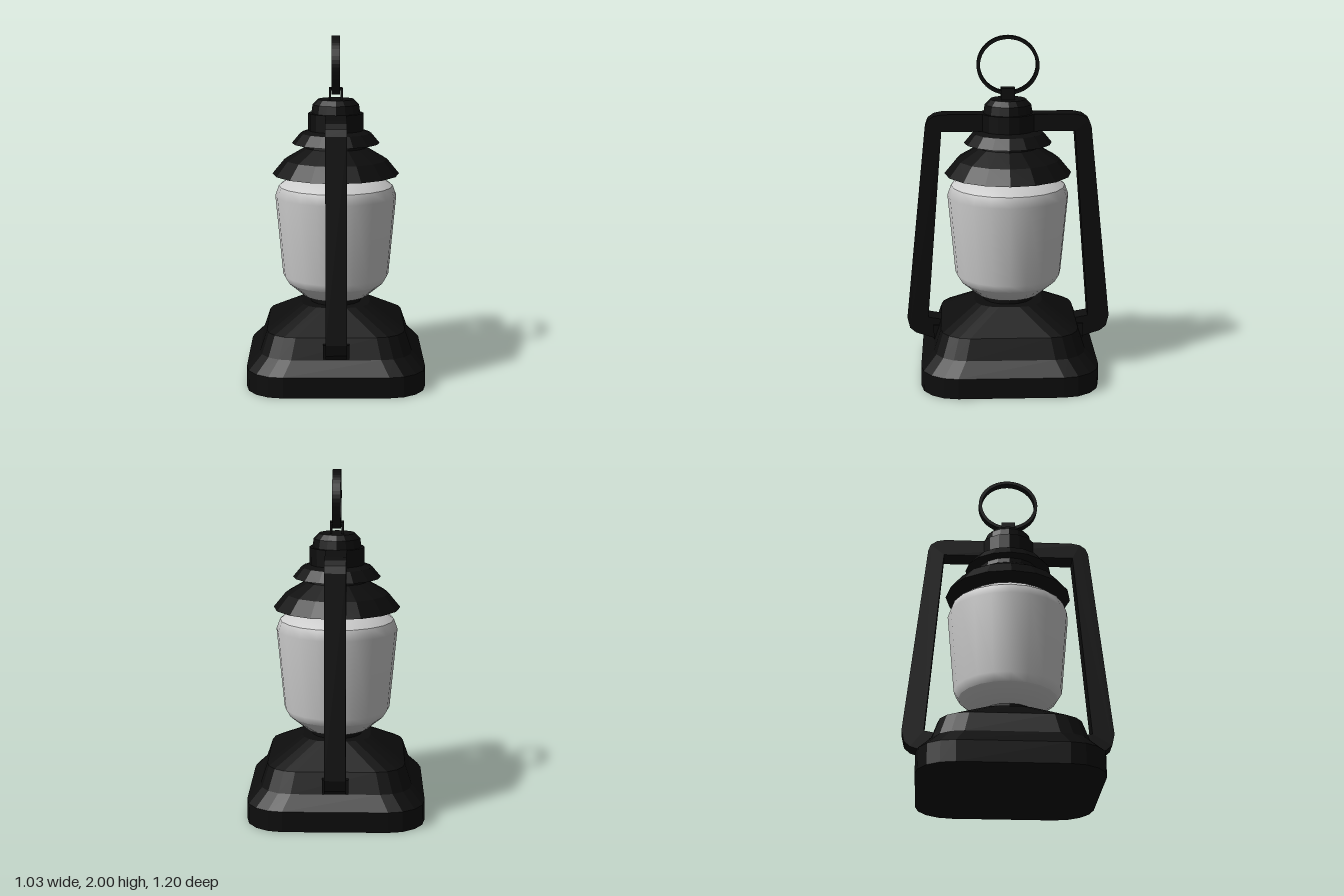
import * as THREE from 'three';

const metal = new THREE.MeshStandardMaterial({ color: 0x0d0d0d, flatShading: true, side: THREE.DoubleSide });
const glass = new THREE.MeshStandardMaterial({ color: 0xcccccc, side: THREE.DoubleSide });

function part(name, geometry, material = metal) {
  const mesh = new THREE.Mesh(geometry, material);
  mesh.name = name;
  return mesh;
}

// Turned part from [radius, y] pairs
const turned = (points, sides = 16) =>
  new THREE.LatheGeometry(points.map(([r, y]) => new THREE.Vector2(r, y)), sides);

// Stack of rounded squares, each given as [half width, corner radius, y]
function roundedSquareLoft(levels) {
  const positions = [], index = [], steps = 4, n = 4 * (steps + 1);
  for (const [half, radius, y] of levels) {
    for (let corner = 0; corner < 4; corner++) {
      const mid = (corner + 0.5) * Math.PI / 2;
      const cx = Math.sign(Math.cos(mid)) * (half - radius);
      const cz = Math.sign(Math.sin(mid)) * (half - radius);
      for (let i = 0; i <= steps; i++) {
        const a = (corner + i / steps) * Math.PI / 2;
        positions.push(cx + radius * Math.cos(a), y, cz + radius * Math.sin(a));
      }
    }
  }
  for (let l = 0; l < levels.length - 1; l++) {
    for (let i = 0; i < n; i++) {
      const a = l * n + i, b = l * n + (i + 1) % n;
      index.push(a, a + n, b, b, a + n, b + n);
    }
  }
  const g = new THREE.BufferGeometry();
  g.setAttribute('position', new THREE.Float32BufferAttribute(positions, 3));
  g.setIndex(index);
  g.computeVertexNormals();
  return g;
}

// Side profile drawn in (z, y), extruded across x
function acrossX(shape, width, curveSegments = 12) {
  const g = new THREE.ExtrudeGeometry(shape, { depth: width, bevelEnabled: false, curveSegments });
  return g.translate(0, 0, -width / 2).rotateY(-Math.PI / 2);
}

export function createModel() {
  const lantern = new THREE.Group();
  lantern.name = 'lantern';

  // Stepped square base and round neck
  lantern.add(part('base', roundedSquareLoft([
    [0, 0, 0], [0.515, 0.215, 0], [0.515, 0.215, 0.12], [0.44, 0.185, 0.2],
    [0.4, 0.17, 0.32], [0.2, 0.14, 0.44], [0, 0, 0.44],
  ])));
  lantern.add(part('neck', new THREE.CylinderGeometry(0.15, 0.15, 0.08, 16).translate(0, 0.45, 0)));

  // Glass globe: foot, body and shoulder keep crisp borders
  const globe = new THREE.Group();
  globe.name = 'globe';
  globe.add(part('globeFoot', turned([[0, 0.475], [0.19, 0.475], [0.285, 0.555]], 20), glass));
  globe.add(part('globeBody', turned([[0.285, 0.555], [0.312, 0.6], [0.355, 1.07], [0.333, 1.13]], 20), glass));
  globe.add(part('globeShoulder', turned([[0.333, 1.13], [0.27, 1.175], [0.18, 1.205]], 20), glass));
  lantern.add(globe);

  // Two flared hoods and the chimney
  lantern.add(part('lowerHood', turned([
    [0.17, 1.21], [0.355, 1.2], [0.37, 1.2], [0.3, 1.285], [0.18, 1.355], [0.175, 1.39],
  ])));
  lantern.add(part('upperHood', turned([
    [0.17, 1.385], [0.255, 1.38], [0.205, 1.44], [0.16, 1.455],
  ])));
  lantern.add(part('chimney', turned([
    [0.16, 1.44], [0.16, 1.555], [0.142, 1.555], [0.134, 1.605], [0.105, 1.635], [0, 1.635],
  ])));

  // Handle frame: one side, mirrored into a single outline
  const outer = [[0.43, 0.2], [0.55, 0.24], [0.585, 0.27], [0.6, 0.335], [0.48, 1.48], [0.465, 1.52], [0.43, 1.545], [0.38, 1.555]];
  const inner = [[0.385, 1.455], [0.475, 0.335], [0.39, 0.32]];
  const mirror = (list) => list.map(([z, y]) => [-z, y]).reverse();
  const outline = [...outer, ...mirror(outer), ...mirror(inner), ...inner];
  lantern.add(part('frame', acrossX(new THREE.Shape(outline.map(([z, y]) => new THREE.Vector2(z, y))), 0.12)));

  // Brackets joining the frame to the base
  for (const side of [1, -1]) {
    lantern.add(part(side > 0 ? 'frontBracket' : 'backBracket',
      new THREE.BoxGeometry(0.15, 0.085, 0.08).translate(0, 0.245, side * 0.405)));
  }

  // Small clevis holding the ring
  for (const side of [1, -1]) {
    lantern.add(part(side > 0 ? 'leftRingLug' : 'rightRingLug',
      new THREE.BoxGeometry(0.012, 0.07, 0.08).translate(side * 0.034, 1.665, 0)));
  }
  lantern.add(part('ringLugTop', new THREE.BoxGeometry(0.08, 0.012, 0.08).translate(0, 1.694, 0)));

  // Flat carrying ring
  const ring = new THREE.Shape().absellipse(0, 1.831, 0.18, 0.169, 0, Math.PI * 2);
  ring.holes.push(new THREE.Path().absellipse(0, 1.831, 0.16, 0.15, 0, Math.PI * 2, true));
  lantern.add(part('ring', acrossX(ring, 0.048, 24)));

  return lantern;
}
